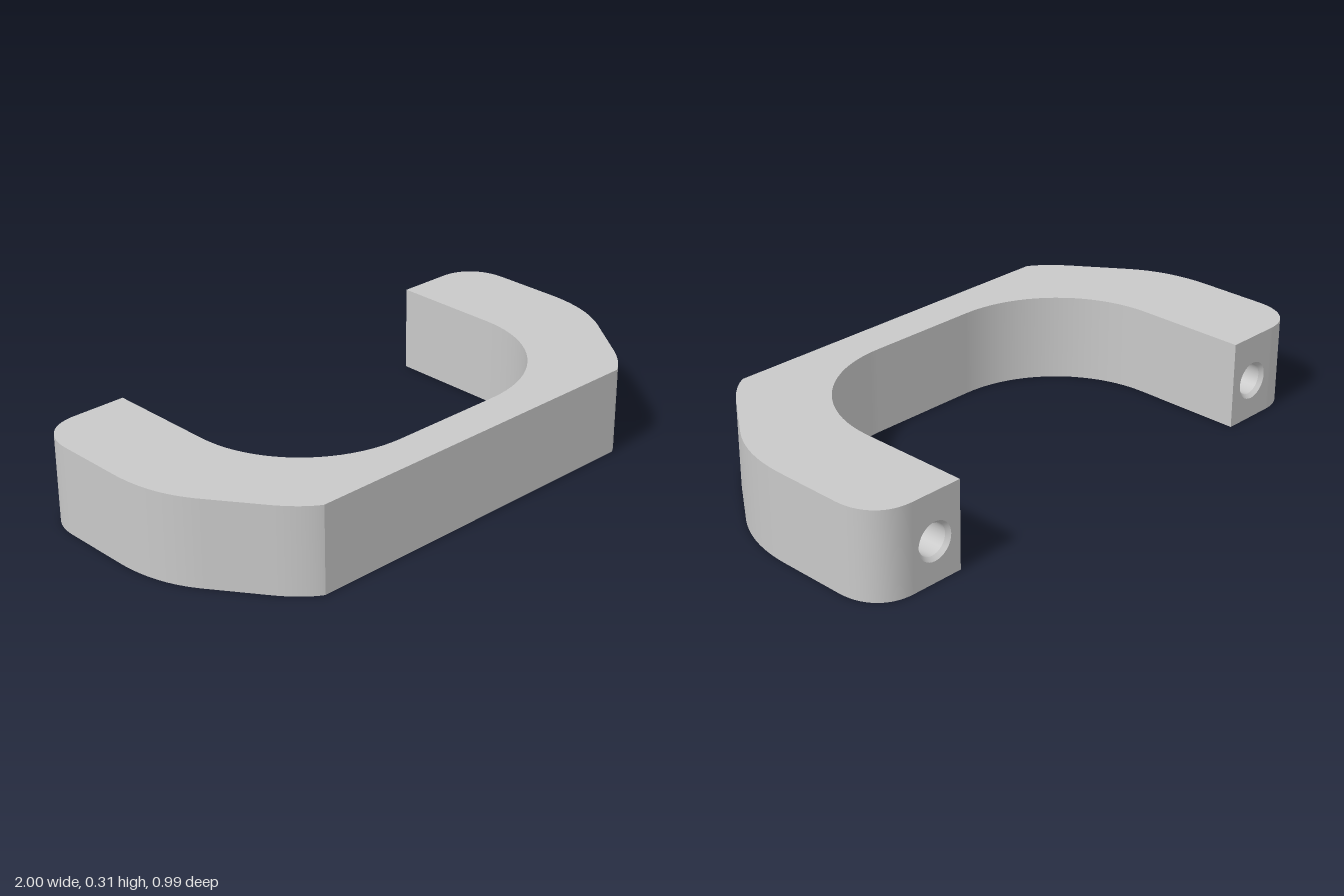
import * as THREE from 'three';
import { mergeGeometries, toCreasedNormals } from 'three/addons/utils/BufferGeometryUtils.js';

const H = 0.31, BACK = -0.4925, FRONT = 0.4925, INNER = 0.655, FLAT = 0.85;
const HOLE_X = 0.76, HOLE_Y = 0.142, HOLE_R = 0.067, STEPS = 20;

// Plan curves as [x, z] points: two make a line, four a cubic curve
const outerHalf = [
  [[FLAT, BACK], [0.94, BACK], [1, -0.43], [1, -0.33]],
  [[1, -0.33], [1, -0.09]],
  [[1, -0.09], [1, 0.03], [0.97, 0.126], [0.91, 0.21]],
  [[0.91, 0.21], [0.79, 0.378]],
  [[0.79, 0.378], [0.75, 0.434], [0.705, 0.475], [0.67, FRONT]],
];
const innerHalf = [
  [[-INNER, BACK], [-INNER, -0.09]],
  [[-INNER, -0.09], [-INNER, 0.15], [-0.46, 0.347], [-0.21, 0.347]],
];
const mirror = (half) => half.map((c) => c.map(([x, z]) => [-x, z]).reverse()).reverse();

function toCurve(points) {
  const v = points.map(([x, z]) => new THREE.Vector2(x, z));
  return v.length === 2 ? new THREE.LineCurve(...v) : new THREE.CubicBezierCurve(...v);
}

// Upright wall along a plan curve, with normals taken from its tangents
function wall(curve) {
  const n = curve.isLineCurve ? 1 : STEPS;
  const pos = [], nor = [], uv = [], index = [];
  for (let i = 0; i <= n; i++) {
    const p = curve.getPoint(i / n), t = curve.getTangent(i / n);
    for (const y of [0, H]) {
      pos.push(p.x, y, p.y);
      nor.push(t.y, 0, -t.x);
      uv.push(i / n, y);
    }
    if (i < n) {
      const b = i * 2;
      index.push(b, b + 1, b + 3, b, b + 3, b + 2);
    }
  }
  const g = new THREE.BufferGeometry();
  g.setAttribute('position', new THREE.Float32BufferAttribute(pos, 3));
  g.setAttribute('normal', new THREE.Float32BufferAttribute(nor, 3));
  g.setAttribute('uv', new THREE.Float32BufferAttribute(uv, 2));
  g.setIndex(index);
  return g;
}

export function createModel() {
  const model = new THREE.Group();
  model.name = 'pullHandle';
  const metal = new THREE.MeshStandardMaterial({ color: 0xc8c8c8 });
  metal.name = 'grey metal';
  const add = (name, geometry) => {
    const mesh = new THREE.Mesh(geometry, metal);
    mesh.name = name;
    model.add(mesh);
    return mesh;
  };

  const outer = [...outerHalf, [[0.67, FRONT], [-0.67, FRONT]], ...mirror(outerHalf)].map(toCurve);
  const inner = [...innerHalf, [[-0.21, 0.347], [0.21, 0.347]], ...mirror(innerHalf)].map(toCurve);

  // Grip walls
  add('outerWall', mergeGeometries(outer.map(wall)));
  add('innerWall', mergeGeometries(inner.map(wall)));

  // Top and bottom faces
  const plan = new THREE.Shape();
  plan.curves = [
    ...outer,
    toCurve([[-FLAT, BACK], [-INNER, BACK]]),
    ...inner,
    toCurve([[INNER, BACK], [FLAT, BACK]]),
  ];
  add('bottomFace', new THREE.ShapeGeometry(plan, STEPS).rotateX(Math.PI / 2));
  add('topFace', new THREE.ShapeGeometry(plan, STEPS).rotateX(-Math.PI / 2).rotateY(Math.PI))
    .position.y = H;

  // Mounting feet: drilled end face and chamfered screw hole
  const bore = [[0, 0.33], [0.055, 0.3], [0.055, 0.014], [HOLE_R, 0]];
  for (const [side, s] of [['left', 1], ['right', -1]]) {
    const [a, b] = [-s * INNER, -s * FLAT].sort((p, q) => p - q);
    const face = new THREE.Shape();
    face.moveTo(a, 0).lineTo(b, 0).lineTo(b, H).lineTo(a, H).closePath();
    const hole = new THREE.Path();
    hole.absarc(-s * HOLE_X, HOLE_Y, HOLE_R, 0, Math.PI * 2, true);
    face.holes.push(hole);
    add(side + 'FootFace', new THREE.ShapeGeometry(face, 16).rotateY(Math.PI).translate(0, 0, BACK));

    const lathe = new THREE.LatheGeometry(bore.map(([r, d]) => new THREE.Vector2(r, d)), 32);
    add(side + 'ScrewHole', toCreasedNormals(lathe.rotateX(Math.PI / 2), 0.5))
      .position.set(s * HOLE_X, HOLE_Y, BACK);
  }
  return model;
}
